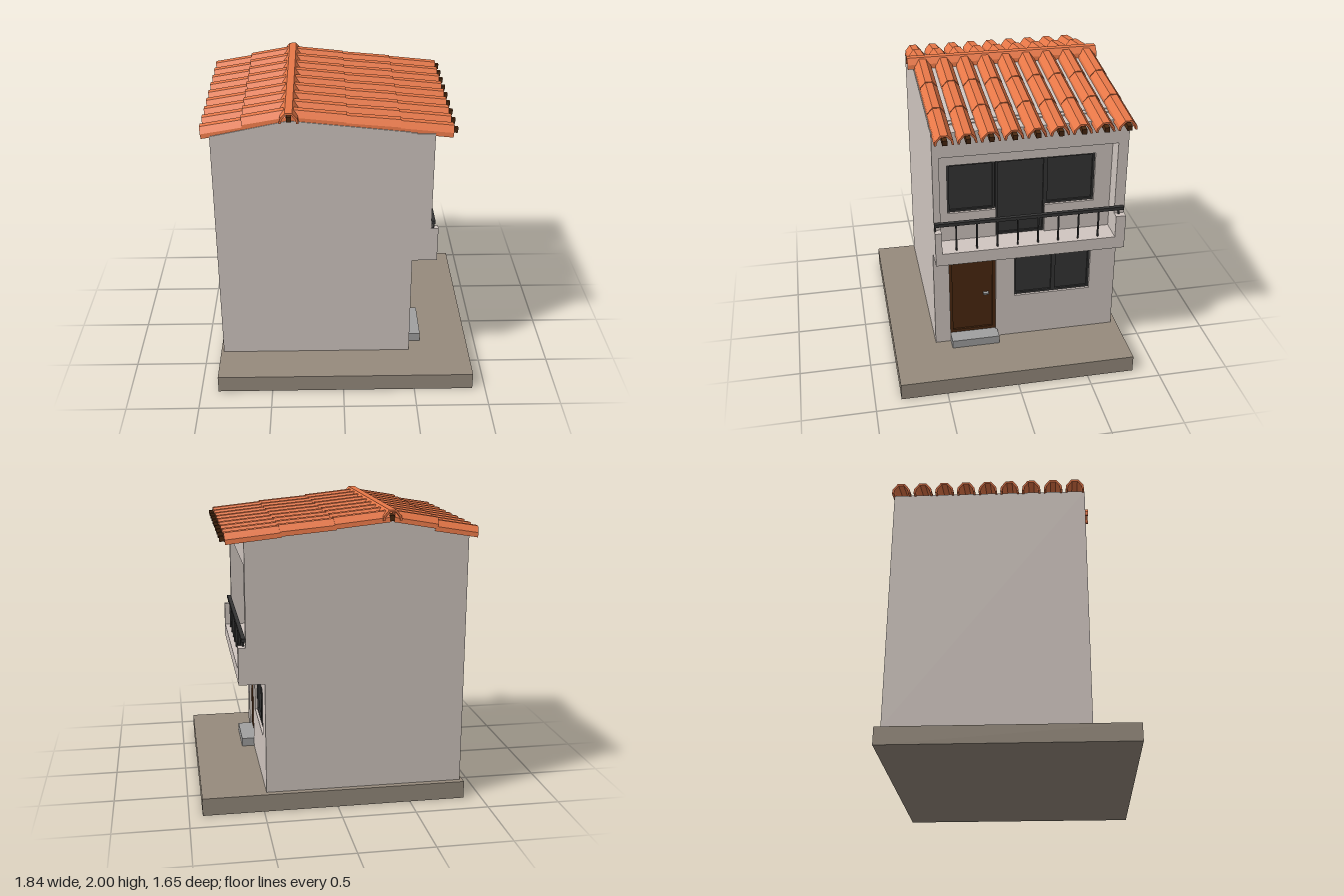
import * as THREE from 'three';

const mat = (color) => new THREE.MeshStandardMaterial({ color, flatShading: true });

export function createModel() {
  const model = new THREE.Group();
  const wall = mat(0xd0c6c0), orange = mat(0xe87848), brown = mat(0x4a2810);
  const dark = mat(0x343434), stone = mat(0x968b7d), grey = mat(0xa0a0a0);

  const add = (name, geo, material, parent = model) => {
    const mesh = new THREE.Mesh(geo, material);
    mesh.name = name;
    parent.add(mesh);
    return mesh;
  };
  const group = (name) => {
    const g = new THREE.Group();
    g.name = name;
    model.add(g);
    return g;
  };
  // Box given by its limits on each axis
  const box = (name, x0, x1, y0, y1, z0, z1, material, parent) => {
    const geo = new THREE.BoxGeometry(x1 - x0, y1 - y0, z1 - z0);
    geo.translate((x0 + x1) / 2, (y0 + y1) / 2, (z0 + z1) / 2);
    return add(name, geo, material, parent);
  };
  const shape = (pts, holes = []) => {
    const s = new THREE.Shape(pts.map(([a, b]) => new THREE.Vector2(a, b)));
    holes.forEach((h) => s.holes.push(new THREE.Path(h.map(([a, b]) => new THREE.Vector2(a, b)))));
    return s;
  };
  const rect = (u0, u1, v0, v1) => [[u0, v0], [u1, v0], [u1, v1], [u0, v1]];
  // Slab facing +x between x0 and x1; outline is given as (u = -z, y)
  const slab = (name, x0, x1, pts, holes, material, parent) => {
    const geo = new THREE.ExtrudeGeometry(shape(pts, holes), { depth: x1 - x0, bevelEnabled: false });
    geo.rotateY(Math.PI / 2).translate(x0, 0, 0);
    return add(name, geo, material, parent);
  };

  // Ground plate and doorstep
  box('base', -0.88, 0.91, 0, 0.12, -0.83, 0.82, stone);
  box('doorstep', 0.44, 0.57, 0.12, 0.18, 0.07, 0.41, grey);

  // House body with a gabled top
  const house = group('house');
  const body = new THREE.ExtrudeGeometry(
    shape([[-0.86, 0.12], [0.44, 0.12], [0.44, 1.845], [-0.35, 1.93], [-0.86, 1.825]]),
    { depth: 1.31, bevelEnabled: false });
  body.translate(0, 0, -0.79);
  add('body', body, wall, house);

  // Front wall with door, window and stepped balcony-window openings
  slab('frontWall', 0.44, 0.48, rect(-0.52, 0.79, 0.12, 1.84), [
    rect(-0.41, -0.08, 0.18, 0.78),
    rect(0.055, 0.605, 0.455, 0.78),
    [[-0.08, 0.97], [0.26, 0.97], [0.26, 1.18], [0.605, 1.18], [0.605, 1.54],
      [-0.41, 1.54], [-0.41, 1.18], [-0.08, 1.18]],
  ], wall, house);
  // Projecting upper storey around the loggia, and the balcony front
  slab('upperStorey', 0.48, 0.6, rect(-0.52, 0.79, 0.88, 1.832), [rect(-0.475, 0.72, 0.97, 1.66)], wall, house);
  slab('balcony', 0.6, 0.65, [[-0.52, 0.88], [0.79, 0.88], [0.79, 1.13], [0.72, 1.13],
    [0.72, 0.97], [-0.475, 0.97], [-0.475, 1.13], [-0.52, 1.13]], [], wall, house);

  // Framed panel: thin pane with a raised border
  const panel = (name, u0, u1, y0, y1, t, material) => {
    const g = group(name);
    slab('pane', 0.435, 0.45, rect(u0, u1, y0, y1), [], material, g);
    slab('frame', 0.435, 0.463, rect(u0, u1, y0, y1), [rect(u0 + t, u1 - t, y0 + t, y1 - t)], material, g);
    return g;
  };
  const door = panel('door', -0.41, -0.08, 0.18, 0.78, 0.022, brown);
  box('handle', 0.45, 0.475, 0.484, 0.496, 0.128, 0.166, grey, door);
  panel('lowerWindow', 0.055, 0.34, 0.455, 0.78, 0.015, dark);
  panel('lowerWindow', 0.34, 0.605, 0.455, 0.78, 0.015, dark);
  panel('upperWindow', -0.41, -0.085, 1.18, 1.54, 0.015, dark);
  panel('balconyDoor', -0.08, 0.265, 0.97, 1.54, 0.015, dark);
  panel('upperWindow', 0.265, 0.605, 1.18, 1.54, 0.015, dark);

  // Balcony railing
  const railing = group('railing');
  box('handrail', 0.6, 0.627, 1.165, 1.188, -0.78, 0.52, dark, railing);
  for (let i = 0; i < 10; i++) {
    const z = 0.514 - i * 0.14;
    const foot = i === 0 || i === 9 ? 1.13 : 0.97;
    box('baluster', 0.608, 0.62, foot, 1.17, z - 0.005, z + 0.005, dark, railing);
  }

  // Barrel tile: thin faceted arch swept from a to b
  const arch = shape([[-0.063, 0], [-0.058, 0.03], [-0.024, 0.07], [0.024, 0.07], [0.058, 0.03], [0.063, 0],
    [0.049, 0], [0.044, 0.026], [0.018, 0.057], [-0.018, 0.057], [-0.044, 0.026], [-0.049, 0]]);
  const sweep = (name, section, a, b, material, parent) => {
    const dir = new THREE.Vector3().subVectors(b, a);
    const geo = new THREE.ExtrudeGeometry(section, { depth: dir.length(), bevelEnabled: false });
    dir.normalize();
    const side = new THREE.Vector3().crossVectors(new THREE.Vector3(0, 1, 0), dir).normalize();
    const up = new THREE.Vector3().crossVectors(dir, side);
    geo.applyMatrix4(new THREE.Matrix4().makeBasis(side, up, dir).setPosition(a));
    return add(name, geo, material, parent);
  };
  const V = (x, y, z) => new THREE.Vector3(x, y, z);

  // Tile rows: [x, y] at the low end, then at the high end of each tile
  const roof = group('roof');
  const tiles = [
    [0.715, 1.803, 0.36, 1.84], [0.37, 1.845, 0.01, 1.878], [0.02, 1.883, -0.34, 1.921],
    [-0.915, 1.808, -0.63, 1.856], [-0.645, 1.87, -0.36, 1.92],
  ];
  const beam = shape(rect(-0.016, 0.016, 0, 0.035));
  for (let i = 0; i < 9; i++) {
    const z = -0.737 + i * 0.1487;
    tiles.forEach(([x0, y0, x1, y1]) => sweep('roofTile', arch, V(x0, y0, z), V(x1, y1, z), orange, roof));
    sweep('rafter', beam, V(0.747, 1.815, z), V(-0.34, 1.925, z), brown, roof);
  }
  // Ridge
  sweep('ridgeTile', arch, V(-0.347, 1.928, 0.56), V(-0.347, 1.93, -0.81), orange, roof);
  sweep('ridgeBeam', beam, V(-0.347, 1.928, 0.54), V(-0.347, 1.928, -0.8), brown, roof);

  return model;
}
